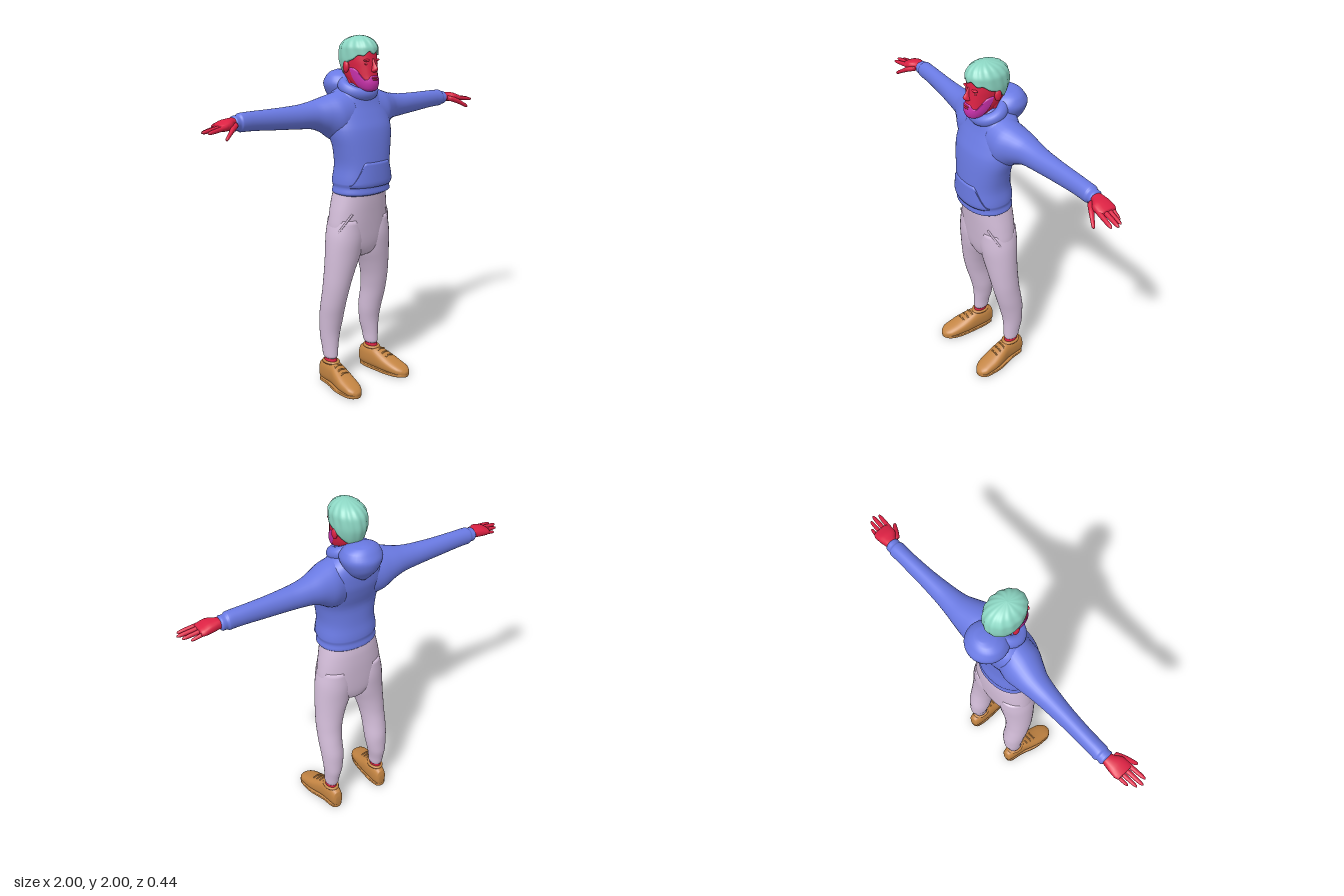
import * as THREE from 'three';
import { mergeVertices } from 'three/addons/utils/BufferGeometryUtils.js';

const mat = (name, color, side = THREE.FrontSide) => {
  const m = new THREE.MeshStandardMaterial({ color, side });
  m.name = name;
  return m;
};

// Section of a body at t; each row is [t, min1, max1, min2, max2]
function sectionAt(rows, t) {
  let i = 0;
  while (i < rows.length - 2 && t > rows[i + 1][0]) i++;
  const secant = (j, k) => (rows[j + 1][k] - rows[j][k]) / (rows[j + 1][0] - rows[j][0]);
  const slope = (j, k) => {
    if (j === 0) return secant(0, k);
    if (j === rows.length - 1) return secant(j - 1, k);
    const a = secant(j - 1, k), b = secant(j, k);
    return a * b <= 0 ? 0 : 2 * a * b / (a + b);
  };
  const h = rows[i + 1][0] - rows[i][0], s = THREE.MathUtils.clamp((t - rows[i][0]) / h, 0, 1);
  return [1, 2, 3, 4].map(k =>
    rows[i][k] * (1 + 2 * s) * (1 - s) ** 2 + slope(i, k) * h * s * (1 - s) ** 2 +
    rows[i + 1][k] * s * s * (3 - 2 * s) + slope(i + 1, k) * h * s * s * (s - 1));
}

// Point on a body's rounded cross-section, pushed out by off
function pointAt(rows, axis, t, a, n = 2, off = 0) {
  const [p0, p1, q0, q1] = sectionAt(rows, t);
  const curve = v => Math.sign(v) * Math.abs(v) ** (2 / n);
  const p = (p0 + p1) / 2 + ((p1 - p0) / 2 + off) * curve(Math.cos(a));
  const q = (q0 + q1) / 2 + ((q1 - q0) / 2 + off) * curve(Math.sin(a));
  return axis === 'x' ? [t, p, q] : axis === 'y' ? [p, t, q] : [p, q, t];
}

function build(pos, idx) {
  const g = new THREE.BufferGeometry();
  g.setAttribute('position', new THREE.Float32BufferAttribute(pos, 3));
  g.setIndex(idx);
  return g;
}

// Closed body through the section rows along one axis
function loft(rows, axis = 'y', n = 2, seg = 32, sub = 4) {
  const ts = [], pos = [], idx = [];
  rows.slice(0, -1).forEach((r, i) => {
    for (let k = 0; k < sub; k++) ts.push(r[0] + (rows[i + 1][0] - r[0]) * k / sub);
  });
  ts.push(rows.at(-1)[0]);
  for (const t of ts) for (let j = 0; j < seg; j++) pos.push(...pointAt(rows, axis, t, j / seg * Math.PI * 2, n));
  const quad = (a, b, c, d) => axis === 'y' ? idx.push(a, c, b, b, c, d) : idx.push(a, b, c, b, d, c);
  for (let i = 0; i < ts.length - 1; i++) for (let j = 0; j < seg; j++) {
    const k = (j + 1) % seg;
    quad(i * seg + j, i * seg + k, (i + 1) * seg + j, (i + 1) * seg + k);
  }
  // End caps
  for (const [t, base, flip] of [[ts[0], 0, true], [ts.at(-1), (ts.length - 1) * seg, false]]) {
    const s = sectionAt(rows, t), p = (s[0] + s[1]) / 2, q = (s[2] + s[3]) / 2, c = pos.length / 3;
    pos.push(...(axis === 'x' ? [t, p, q] : axis === 'y' ? [p, t, q] : [p, q, t]));
    for (let j = 0; j < seg; j++) {
      const a = base + j, b = base + (j + 1) % seg;
      if (flip === (axis === 'y')) idx.push(c, a, b); else idx.push(c, b, a);
    }
  }
  const g = build(pos, idx);
  g.computeVertexNormals();
  return g;
}

// Layer over an upright body between two edges, its borders tucked inward
function shell(rows, a0, a1, upper, lower, off, { n = 2, seg = 64, steps = 14, pow = 1, tuckTop = true } = {}) {
  const pos = [], idx = [];
  for (let i = 0; i <= steps; i++) for (let j = 0; j <= seg; j++) {
    const a = a0 + (a1 - a0) * j / seg, v = Math.min(1, i / (steps - 1));
    const y = upper(a) + (lower(a) - upper(a)) * v ** pow;
    const border = i === steps || (tuckTop && i === 0);
    pos.push(...pointAt(rows, 'y', y, a, n, border ? -0.012 : typeof off === 'function' ? off(a, v) : off));
    if (i < steps && j < seg) {
      const k = i * (seg + 1) + j, d = k + seg + 1;
      idx.push(k, k + 1, d, k + 1, d + 1, d);
    }
  }
  const g = mergeVertices(build(pos, idx), 1e-5);
  g.computeVertexNormals();
  return g;
}

function ellipsoid(x, y, z, rx, ry, rz) {
  return new THREE.SphereGeometry(1, 20, 14).scale(rx, ry, rz).translate(x, y, z);
}

function tube(points, r) {
  const path = new THREE.CatmullRomCurve3(points.map(p => new THREE.Vector3(...p)));
  return new THREE.TubeGeometry(path, 16, r, 8);
}

function mirrored(g) {
  const m = g.clone().scale(-1, 1, 1), ix = m.index.array;
  for (let i = 0; i < ix.length; i += 3) [ix[i], ix[i + 1]] = [ix[i + 1], ix[i]];
  m.computeVertexNormals();
  return m;
}

export function createModel() {
  const model = new THREE.Group();
  const skin = mat('skin', 0xdc2143);
  const hair = mat('hair', 0x8cd6c3, THREE.DoubleSide);
  const beard = mat('beard', 0xcb32ad, THREE.DoubleSide);
  const hoodie = mat('hoodie fabric', 0x6a7ae3, THREE.DoubleSide);
  const trousers = mat('trouser fabric', 0xd3bdd9);
  const leather = mat('shoe leather', 0xc48543);
  const add = (name, g, m) => {
    const mesh = new THREE.Mesh(g, m);
    mesh.name = name;
    model.add(mesh);
  };
  const pair = (name, g, m) => {
    add(name + 'Left', g, m);
    add(name + 'Right', mirrored(g), m);
  };
  const even = rows => rows.map(([t, w, q0, q1]) => [t, -w, w, q0, q1]);

  // Hoodie body, with a gathered hem
  const torso = even([[1.14, .158, -.088, .15], [1.155, .174, -.1, .172], [1.185, .169, -.096, .17],
    [1.21, .175, -.1, .177], [1.3, .166, -.088, .175], [1.4, .18, -.084, .167], [1.5, .203, -.112, .152],
    [1.57, .205, -.128, .125], [1.63, .19, -.13, .1], [1.68, .15, -.125, .085], [1.72, .1, -.1, .075], [1.745, .06, -.07, .06]]);
  add('hoodieBody', loft(torso, 'y', 2.2, 48), hoodie);
  const pocketTop = a => 1.335 - .13 * THREE.MathUtils.smoothstep(Math.abs(Math.cos(a)), .45, .88);
  add('frontPocket', shell(torso, .5, Math.PI - .5, pocketTop, () => 1.19, .006, { n: 2.2 }), hoodie);

  // Sleeves and cuffs
  pair('sleeve', loft([[.08, 1.42, 1.715, -.11, .1], [.16, 1.44, 1.698, -.128, .095], [.23, 1.488, 1.678, -.124, .062],
    [.3, 1.514, 1.661, -.115, .03], [.4, 1.523, 1.649, -.105, .012], [.55, 1.534, 1.645, -.1, -.006],
    [.7, 1.545, 1.644, -.1, -.014], [.75, 1.546, 1.642, -.102, -.014], [.765, 1.555, 1.632, -.096, -.02],
    [.785, 1.554, 1.632, -.097, -.018], [.795, 1.565, 1.622, -.09, -.025]], 'x'), hoodie);

  // Hood hanging behind the neck and its rolled front edge
  add('hood', loft(even([[1.605, .015, -.14, -.1], [1.64, .065, -.172, -.05], [1.69, .1, -.207, 0], [1.735, .115, -.216, .01],
    [1.775, .1, -.195, -.02], [1.8, .065, -.17, -.06], [1.81, .02, -.145, -.1]])), hoodie);
  add('hoodCollar', new THREE.TorusGeometry(.088, .032, 14, 48).rotateX(Math.PI / 2).scale(1, 1.1, .9)
    .rotateX(.42).translate(0, 1.717, .012), hoodie);

  // Hands
  pair('palm', loft([[.76, 1.57, 1.618, -.086, -.03], [.8, 1.57, 1.624, -.088, -.022], [.84, 1.565, 1.622, -.094, .006],
    [.88, 1.564, 1.61, -.096, .01], [.9, 1.57, 1.602, -.088, .002]], 'x', 2.4, 20), skin);
  for (const [name, z0, z1, tip, yTip, r] of [['indexFinger', -.004, .012, .985, 1.572, .012], ['middleFinger', -.03, -.018, 1, 1.574, .012],
    ['ringFinger', -.056, -.045, .985, 1.57, .011], ['littleFinger', -.081, -.07, .95, 1.562, .01]]) {
    const row = (s, k) => {
      const y = 1.59 + (yTip - 1.59) * s, z = z0 + (z1 - z0) * s;
      return [.86 + (tip - .86) * s, y - r * k, y + r * k, z - r * k, z + r * k];
    };
    pair(name, loft([row(0, 1.1), row(.5, 1), row(.85, .8), row(.96, .5), row(1, .1)], 'x', 2, 12), skin);
  }
  pair('thumb', loft([[.8, 1.575, 1.605, -.035, .002], [.84, 1.56, 1.592, -.008, .026], [.875, 1.543, 1.568, .018, .043],
    [.9, 1.531, 1.55, .034, .053], [.908, 1.535, 1.54, .044, .049]], 'x', 2, 12), skin);

  // Head, neck and face
  const head = even([[1.704, .022, .07, .12], [1.715, .042, .035, .138], [1.75, .061, -.03, .147], [1.79, .071, -.07, .14],
    [1.83, .076, -.085, .135], [1.87, .08, -.09, .13], [1.92, .08, -.09, .123], [1.965, .05, -.05, .09], [1.98, .01, 0, .04]]);
  add('head', loft(head, 'y', 2.15), skin);
  add('neck', loft(even([[1.62, .06, -.07, .06], [1.7, .056, -.06, .06], [1.8, .056, -.06, .07]])), skin);
  add('nose', loft(even([[1.806, .01, .11, .138], [1.815, .019, .11, .155], [1.827, .015, .11, .162],
    [1.85, .009, .11, .148], [1.88, .009, .1, .131]]), 'y', 2, 16), skin);
  pair('ear', ellipsoid(.086, 1.835, .008, .013, .032, .02), skin);
  pair('brow', ellipsoid(.035, 1.871, .117, .024, .007, .011), skin);
  pair('eye', ellipsoid(.034, 1.852, .113, .014, .007, .01), skin);

  // Beard around the mouth and up to the ears
  const beardTop = a => {
    const c = Math.abs(Math.cos(a));
    return 1.795 - .022 * THREE.MathUtils.smoothstep(c, .25, .6) + .065 * THREE.MathUtils.smoothstep(c, .7, 1);
  };
  add('beard', shell(head, .02, Math.PI - .02, beardTop, () => 1.706, .004, { n: 2.15 }), beard);
  add('upperLip', ellipsoid(0, 1.779, .144, .024, .004, .008), skin);
  add('lowerLip', ellipsoid(0, 1.769, .145, .021, .005, .009), skin);

  // Hair, with a tufted fringe and shallow strands
  const scalp = even([[1.74, .05, -.04, .08], [1.78, .066, -.072, .11], [1.83, .086, -.096, .13], [1.88, .093, -.107, .136],
    [1.93, .092, -.101, .136], [1.965, .075, -.078, .118], [1.985, .052, -.045, .092], [1.996, .025, -.005, .06], [2, .001, .024, .026]]);
  const hairEdge = a => {
    const f = Math.sin(a);
    return f > 0 ? 1.858 + .055 * f + .009 * Math.cos(10 * a) * f : 1.858 + .085 * f;
  };
  add('hair', shell(scalp, -Math.PI / 2, Math.PI * 1.5, () => 2, hairEdge, (a, v) => .0025 * Math.sin(14 * a + 5 * v) * Math.sin(Math.PI * v),
    { seg: 96, steps: 24, pow: 1.8, tuckTop: false }), hair);

  // Trousers
  const hips = even([[.765, .025, -.04, .05], [.79, .09, -.08, .09], [.86, .19, -.095, .11], [.95, .2, -.1, .12],
    [1.03, .19, -.102, .128], [1.1, .176, -.1, .135], [1.17, .16, -.09, .14]]);
  add('trouserSeat', loft(hips, 'y', 2.2, 40), trousers);
  pair('trouserLeg', loft([[.16, .133, .198, -.088, -.004], [.175, .125, .204, -.096, 0], [.22, .12, .207, -.105, 0],
    [.3, .104, .215, -.12, .003], [.4, .09, .222, -.12, .023], [.5, .088, .227, -.105, .05], [.6, .074, .227, -.09, .073],
    [.7, .044, .224, -.086, .09], [.8, .004, .22, -.09, .105], [.9, -.01, .212, -.096, .115], [1, .02, .19, -.09, .11]]), trousers);
  pair('trouserPocketEdge', tube([[1.04, .85], [1, .68], [.95, .45], [.91, .25]].map(([y, a]) =>
    pointAt(hips, 'y', y, a, 2.2, .003)), .006), trousers);

  // Ankles and shoes
  pair('ankle', loft([[.08, .135, .2, -.09, .005], [.13, .137, .198, -.088, 0], [.19, .138, .194, -.085, -.01]]), skin);
  pair('shoe', loft([[-.125, .145, .182, .025, .085], [-.115, .132, .195, .008, .122], [-.06, .122, .206, .004, .14],
    [0, .12, .216, .004, .138], [.06, .121, .235, .004, .115], [.12, .128, .247, .004, .088], [.18, .142, .248, .004, .064],
    [.21, .162, .234, .006, .048], [.225, .185, .212, .014, .032]], 'z', 2.5), leather);
  const outline = [[-.122, .15, .18], [-.105, .13, .2], [-.03, .12, .213], [.1, .124, .25], [.17, .138, .252], [.21, .162, .236], [.224, .185, .212]];
  pair('sole', loft(outline.map(([z, x0, x1]) => [z, x0, x1, 0, .022]), 'z', 6), leather);
  pair('shoeCollar', new THREE.TorusGeometry(.036, .009, 10, 28).rotateX(Math.PI / 2).scale(1, 1, 1.3).translate(.166, .134, -.042), leather);
  for (let i = 0; i < 3; i++) {
    const z = .03 + i * .03, y = .132 - i * .0125;
    pair('lace' + (i + 1), tube([[.148 + i * .004, y - .008, z], [.176 + i * .004, y, z], [.204 + i * .004, y - .008, z]], .0045), leather);
  }
  return model;
}
